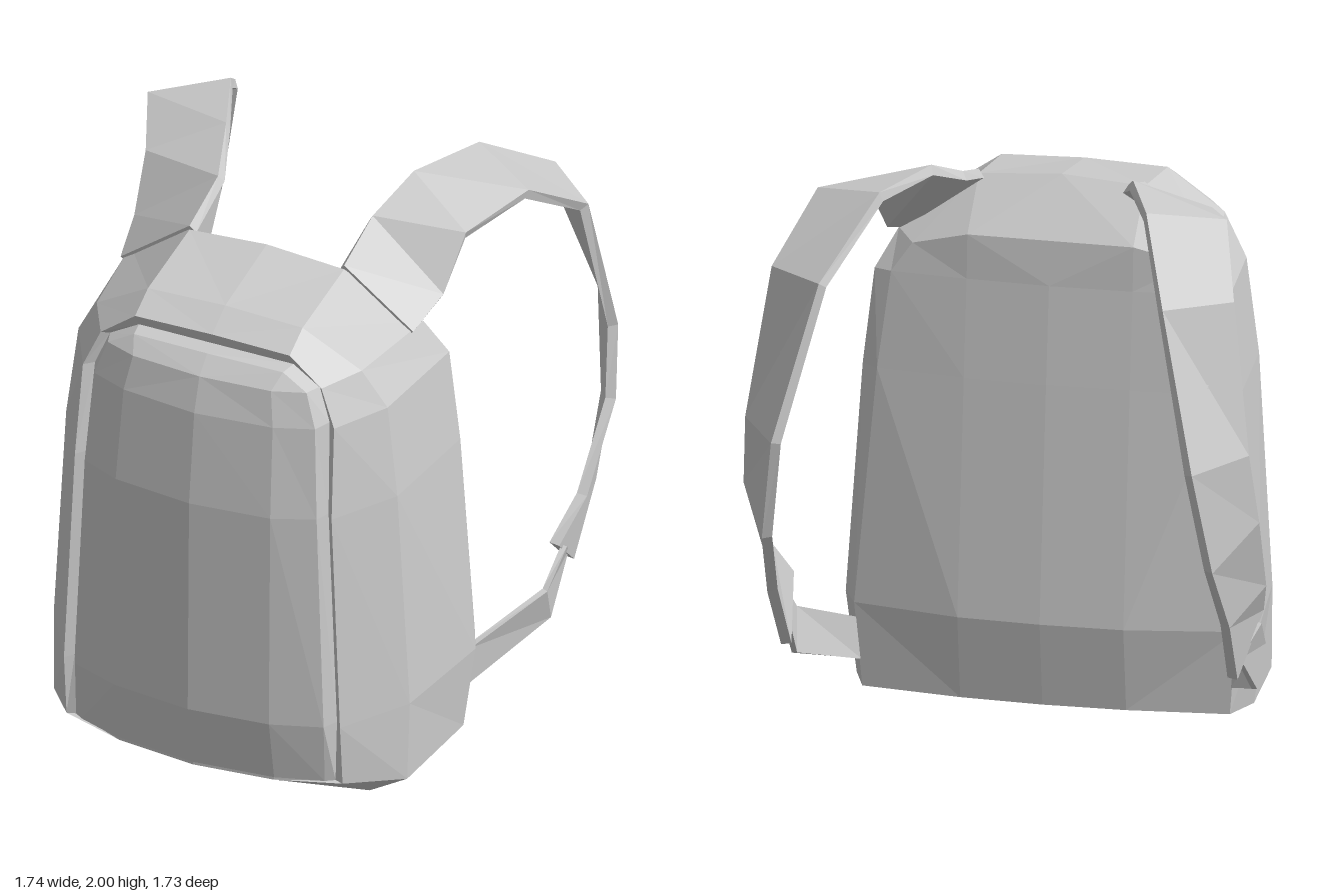
import * as THREE from 'three';

const material = new THREE.MeshStandardMaterial({ color: 0xcccccc, flatShading: true, side: THREE.DoubleSide });

// Skins a series of sections with equal point counts; mirror flips it across x.
function loft(name, sections, mirror = false) {
  const pos = [];
  const v = (p) => new THREE.Vector3(mirror ? -p[0] : p[0], p[1], p[2]);
  const tri = (a, b, c) => {
    const [A, B, C] = mirror ? [v(a), v(c), v(b)] : [v(a), v(b), v(c)];
    const area = B.clone().sub(A).cross(C.clone().sub(A)).length();
    if (area > 1e-6) pos.push(...A.toArray(), ...B.toArray(), ...C.toArray());
  };
  for (let i = 0; i < sections.length - 1; i++) {
    const s = sections[i], t = sections[i + 1];
    for (let j = 0; j < s.length - 1; j++) {
      tri(s[j], s[j + 1], t[j + 1]);
      tri(s[j], t[j + 1], t[j]);
    }
  }
  const geo = new THREE.BufferGeometry();
  geo.setAttribute('position', new THREE.Float32BufferAttribute(pos, 3));
  geo.computeVertexNormals();
  const mesh = new THREE.Mesh(geo, material);
  mesh.name = name;
  return mesh;
}

// Ribbon with thickness; each station is [inner edge, outer edge].
function ribbon(name, stations, thickness, mirror) {
  const V = (p) => new THREE.Vector3(...p);
  const mids = stations.map(([p, q]) => V(p).add(V(q)).multiplyScalar(0.5));
  const sections = stations.map(([p, q], i) => {
    const along = mids[Math.min(i + 1, mids.length - 1)].clone().sub(mids[Math.max(i - 1, 0)]);
    const n = V(q).sub(V(p)).cross(along).normalize().multiplyScalar(thickness);
    const p2 = V(p).sub(n).toArray(), q2 = V(q).sub(n).toArray();
    return [q2, p2, p, q, q2];
  });
  // Close both ends on their centre points
  const cap = (s) => {
    const c = [0, 1, 2].map((k) => (s[0][k] + s[1][k] + s[2][k] + s[3][k]) / 4);
    return s.map(() => c);
  };
  return loft(name, [cap(sections[0]), ...sections, cap(sections.at(-1))], mirror);
}

// Half arches, each from bottom centre round the side to top centre
const backCentre = [[0, .11, -.01], [0, .11, -.01], [0, .11, -.01], [0, .4, -.05], [0, 1.2, .04],
  [0, 1.53, .08], [0, 1.68, .1], [0, 1.68, .1], [0, 1.68, .1]];
const backPanel = [[0, .11, -.01], [.28, .11, 0], [.28, .11, 0], [.28, .4, -.04], [.28, 1.2, .05],
  [.28, 1.53, .09], [.28, 1.68, .1], [.28, 1.68, .1], [0, 1.68, .1]];
const backEdge = [[0, .11, -.01], [.28, .11, 0], [.62, .11, .04], [.645, .4, .03], [.58, 1.2, .08],
  [.54, 1.53, .11], [.47, 1.63, .12], [.28, 1.68, .1], [0, 1.68, .1]];
const widest = [[0, .075, .17], [.5, .085, .17], [.67, .11, .17], [.7, .4, .14], [.64, 1.2, .13],
  [.6, 1.53, .13], [.53, 1.66, .18], [.28, 1.84, .26], [0, 1.86, .26]];
const sideFront = [[0, 0, .53], [.5, .02, .53], [.64, .11, .54], [.645, .4, .53], [.6, 1.2, .53],
  [.56, 1.53, .52], [.48, 1.67, .55], [.28, 1.8, .58], [0, 1.81, .58]];
const rim = [[0, .16, .83], [.28, .16, .8], [.5, .17, .74], [.5, .4, .76], [.465, 1.2, .75],
  [.455, 1.53, .71], [.4, 1.66, .69], [.28, 1.75, .68], [0, 1.755, .68]];
const groove = [[0, .165, .83], [.28, .165, .8], [.47, .17, .73], [.475, .4, .73], [.44, 1.2, .72],
  [.425, 1.53, .68], [.38, 1.645, .66], [.28, 1.7, .65], [0, 1.7, .65]];
const pocketEdge = [[0, .17, .83], [.28, .17, .8], [.44, .17, .75], [.45, .4, .78], [.42, 1.2, .77],
  [.4, 1.53, .74], [.36, 1.65, .72], [.27, 1.7, .71], [0, 1.705, .72]];
const pocketFace = [[0, .17, .83], [.28, .17, .8], [.28, .17, .8], [.28, .4, .84], [.28, 1.2, .83],
  [.27, 1.53, .79], [.25, 1.65, .76], [.25, 1.65, .76], [0, 1.65, .78]];
const pocketCentre = [[0, .17, .83], [0, .17, .83], [0, .17, .83], [0, .4, .87], [0, 1.2, .86],
  [0, 1.53, .82], [0, 1.65, .78], [0, 1.65, .78], [0, 1.65, .78]];

// Wide padded strap, from the shoulder over and round the back
const shoulderPath = [
  [[.28, 1.855, .26], [.53, 1.665, .26]],
  [[.28, 1.92, .04], [.56, 1.72, .09]],
  [[.34, 2, -.15], [.58, 1.89, -.04]],
  [[.45, 1.985, -.42], [.69, 1.94, -.29]],
  [[.58, 1.76, -.73], [.78, 1.75, -.56]],
  [[.71, 1.24, -.86], [.85, 1.25, -.64]],
  [[.76, .88, -.78], [.87, 1, -.58]],
  [[.78, .64, -.62], [.85, .72, -.4]],
  [[.77, .41, -.47], [.81, .59, -.27]],
];
// Narrow webbing from the padded strap to the lower body
const webbingPath = [
  [[.77, .47, -.43], [.815, .56, -.32]],
  [[.785, .31, -.26], [.8, .45, -.2]],
  [[.64, .2, .05], [.645, .34, .06]],
];

export function createModel() {
  const group = new THREE.Group();
  group.name = 'backpack';
  for (const mirror of [false, true]) {
    const side = mirror ? 'right' : 'left';
    group.add(
      loft(side + 'Body', [backCentre, backPanel, backEdge, widest, sideFront, rim, groove], mirror),
      loft(side + 'FrontPocket', [groove, pocketEdge, pocketFace, pocketCentre], mirror),
      ribbon(side + 'ShoulderStrap', shoulderPath, 0.035, mirror),
      ribbon(side + 'LowerWebbing', webbingPath, 0.02, mirror),
    );
  }
  return group;
}
